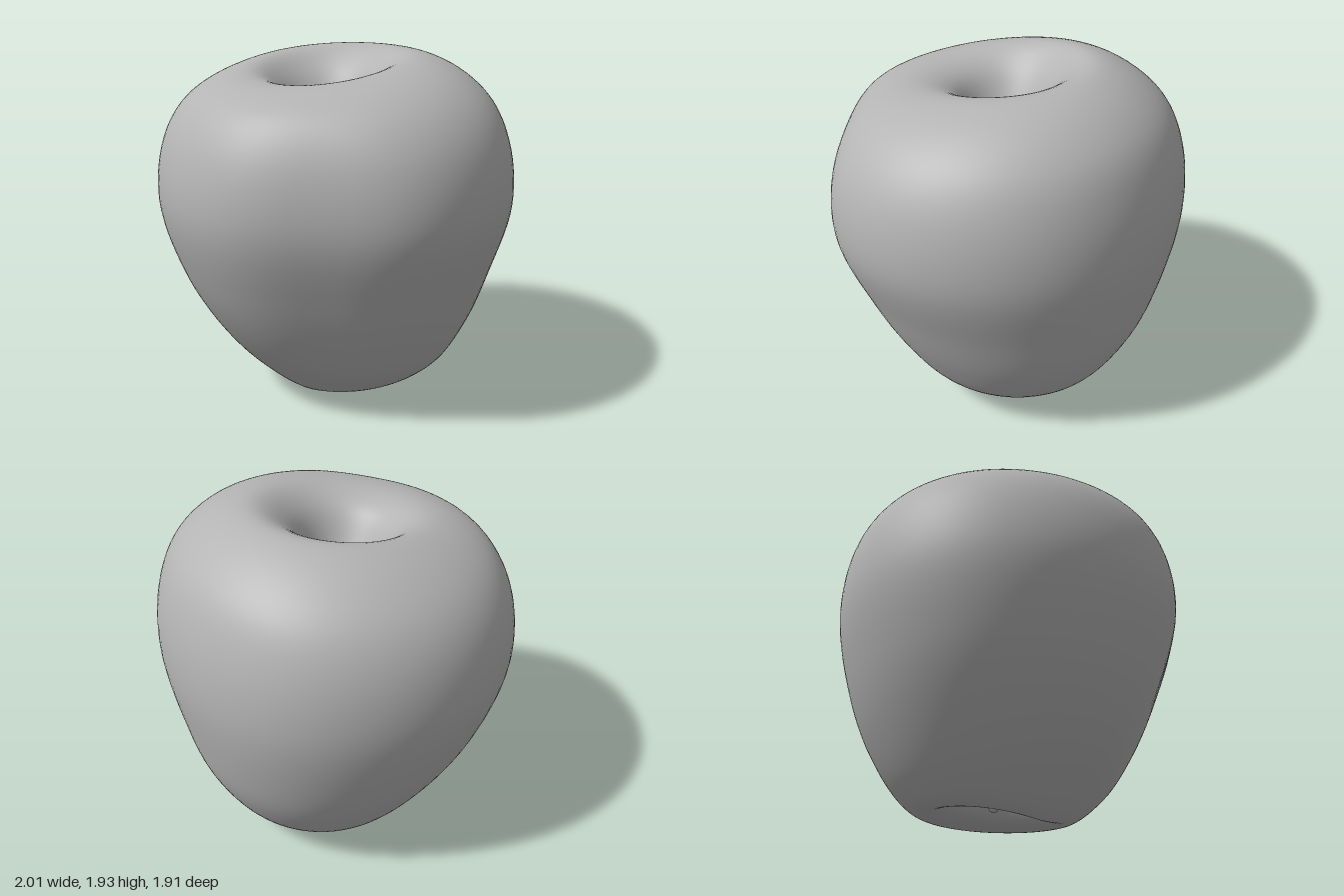
import * as THREE from 'three';

// Flesh rings, bottom rim to top crest: radius and height towards +x, +z, -x, -z
const FLESH = [
  { r: [0.36, 0.2, 0.4, 0.54], y: [0.07, 0.005, 0.05, 0.1] },
  { r: [0.57, 0.46, 0.56, 0.66], y: [0.21, 0.2, 0.17, 0.18] },
  { r: [0.73, 0.67, 0.76, 0.815], y: [0.45, 0.45, 0.45, 0.45] },
  { r: [0.87, 0.84, 0.905, 0.9], y: [0.76, 0.76, 0.76, 0.76] },
  { r: [1, 0.955, 1, 0.955], y: [1.15, 1.15, 1.15, 1.15] },
  { r: [0.965, 0.91, 0.965, 0.92], y: [1.48, 1.48, 1.48, 1.48] },
  { r: [0.84, 0.78, 0.85, 0.82], y: [1.69, 1.69, 1.69, 1.72] },
  { r: [0.63, 0.6, 0.63, 0.62], y: [1.83, 1.785, 1.85, 1.885] },
  { r: [0.39, 0.42, 0.45, 0.43], y: [1.87, 1.8, 1.89, 1.93] },
];

// Round hollows: centre, [radius, height] steps and shared tilt towards the front
const TILT = 0.14;
const LOWER = { x: -0.05, z: -0.12, steps: [[0, 0.4], [0.1, 0.35], [0.18, 0.22], [0.26, 0.1]] };
const UPPER = { x: -0.04, z: 0.015, steps: [[0.27, 1.78], [0.15, 1.59], [0.06, 1.43], [0, 1.36]] };

// Smooth periodic blend of four directional values
function around([right, front, left, back], a) {
  return (right + front + left + back) / 4
    + ((right - left) / 2) * Math.cos(a) + ((front - back) / 2) * Math.sin(a)
    + ((right - front + left - back) / 4) * Math.cos(2 * a);
}

// Smooth local weight around one direction
function bell(a, centre, width) {
  const d = Math.atan2(Math.sin(a - centre), Math.cos(a - centre)) / width;
  return Math.exp(-d * d);
}

function hollowPoints({ x, z, steps }, a) {
  return steps.map(([r, y]) => new THREE.Vector3(
    x + r * Math.cos(a), y - TILT * r * Math.sin(a), z + r * Math.sin(a)));
}

function fleshPoints(a) {
  // Flattened flank at the front left, slight swell at the back right
  const swell = 0.025 * bell(a, -2.3, 0.45) - 0.075 * bell(a, 0.84, 0.4);
  return FLESH.map((ring, i) => {
    const y = around(ring.y, a);
    const weight = Math.sin((Math.PI * i) / (FLESH.length - 1));
    const r = around(ring.r, a) * (1 + swell * weight);
    return new THREE.Vector3(r * Math.cos(a), y, r * Math.sin(a));
  });
}

// Skin swept from meridian curves running from the lower to the upper hollow
function fruitGeometry(segments = 96, steps = 112) {
  const positions = [];
  const index = [];
  for (let j = 0; j < segments; j++) {
    const a = (j / segments) * Math.PI * 2;
    const meridian = new THREE.CatmullRomCurve3(
      [...hollowPoints(LOWER, a), ...fleshPoints(a), ...hollowPoints(UPPER, a)]);
    const next = (j + 1) % segments;
    for (let i = 0; i <= steps; i++) {
      positions.push(...meridian.getPoint(i / steps).toArray());
      if (i === steps) continue;
      const p = j * (steps + 1) + i;
      const q = next * (steps + 1) + i;
      if (i > 0) index.push(p, p + 1, q);
      if (i < steps - 1) index.push(q, p + 1, q + 1);
    }
  }
  const geometry = new THREE.BufferGeometry();
  geometry.setAttribute('position', new THREE.Float32BufferAttribute(positions, 3));
  geometry.setIndex(index);
  geometry.computeVertexNormals();
  return geometry;
}

export function createModel() {
  const group = new THREE.Group();
  group.name = 'apple';
  const grey = new THREE.MeshStandardMaterial({ color: 0xb4b4b4 });
  grey.name = 'plain grey';

  const fruit = new THREE.Mesh(fruitGeometry(), grey);
  fruit.name = 'fruit';
  group.add(fruit);

  // Small blunt nub hanging in the lower hollow
  const profile = [[0, 0.1], [0.02, 0.105], [0.035, 0.13], [0.05, 0.22], [0.065, 0.32], [0.1, 0.4]];
  const nub = new THREE.Mesh(
    new THREE.LatheGeometry(profile.map(([x, y]) => new THREE.Vector2(x, y)), 20), grey);
  nub.position.set(LOWER.x, 0, LOWER.z);
  nub.name = 'calyxNub';
  group.add(nub);

  return group;
}
